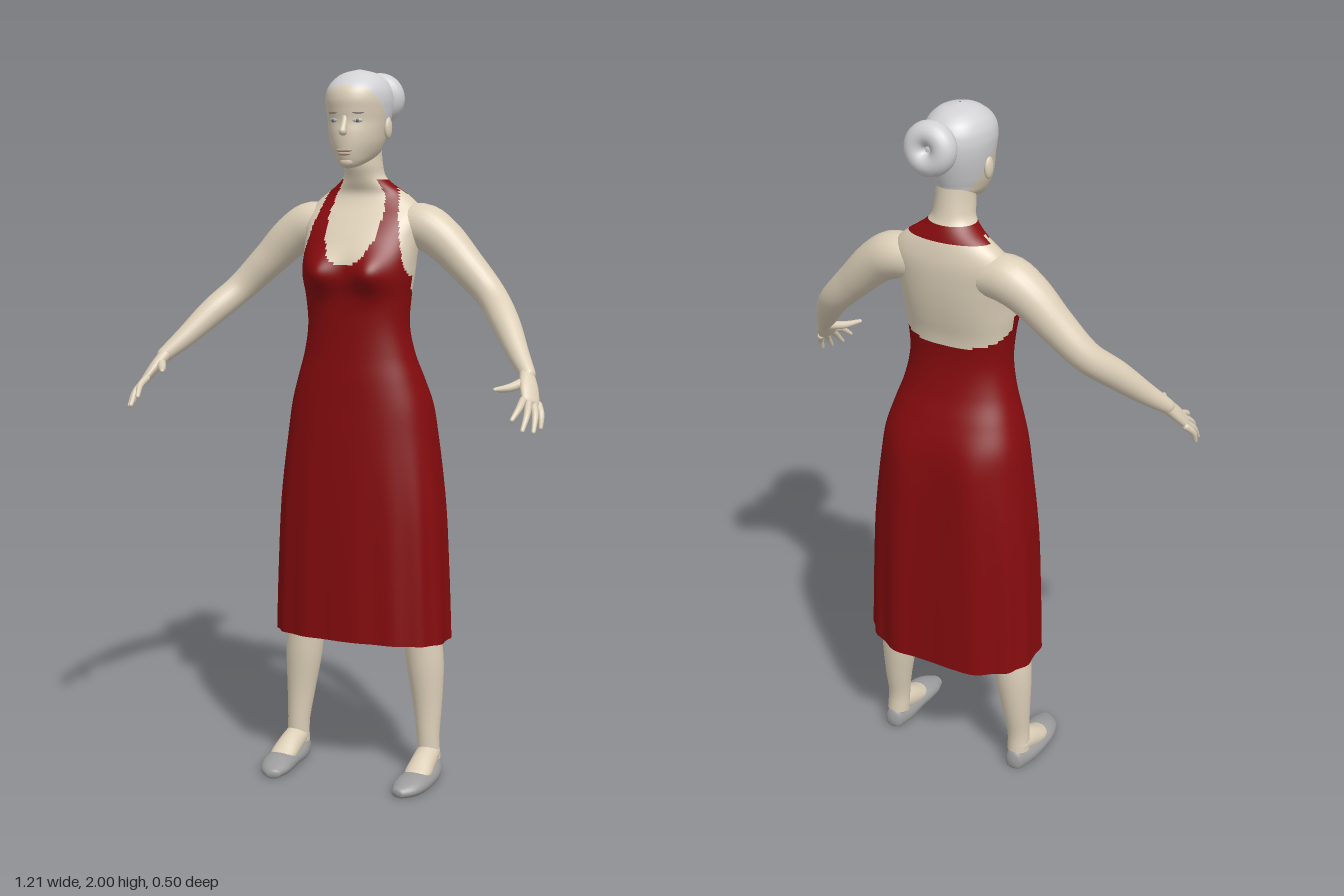
import * as THREE from 'three';

const mat = (name, color, side = THREE.FrontSide) => {
  const m = new THREE.MeshStandardMaterial({ color, side });
  m.name = name;
  return m;
};

// Smooth sampler over rows of [key, ...values]
function sampler(rows) {
  const it = new THREE.CubicInterpolant(rows.map(r => r[0]), rows.flatMap(r => r.slice(1)), rows[0].length - 1);
  return t => Array.from(it.evaluate(t));
}

// Piecewise linear lookup in [key, value] pairs
function lookup(table, k) {
  if (k <= table[0][0]) return table[0][1];
  for (let i = 1; i < table.length; i++) {
    const [a, va] = table[i - 1], [b, vb] = table[i];
    if (k <= b) return va + (vb - va) * (k - a) / (b - a);
  }
  return table[table.length - 1][1];
}

// Closed tube of rings; point(angle, ring) returns a Vector3
function ringGrid(point, around, rings) {
  const pos = [], idx = [];
  for (let j = 0; j < rings; j++)
    for (let i = 0; i < around; i++) pos.push(...point(i / around * Math.PI * 2, j).toArray());
  for (let j = 0; j < rings - 1; j++)
    for (let i = 0; i < around; i++) {
      const n = (i + 1) % around, a = j * around + i, b = j * around + n;
      idx.push(a, b, b + around, a, b + around, a + around);
    }
  const g = new THREE.BufferGeometry();
  g.setAttribute('position', new THREE.Float32BufferAttribute(pos, 3));
  g.setIndex(idx);
  g.computeVertexNormals();
  return g;
}

// Split a grid into two geometries by a rule on each quad's centre
function splitGrid(g, rule) {
  const p = g.attributes.position, idx = g.index.array, sets = [[], []];
  for (let q = 0; q < idx.length; q += 6) {
    const c = new THREE.Vector3();
    for (const k of [0, 1, 2, 5]) c.add(new THREE.Vector3().fromBufferAttribute(p, idx[q + k]));
    sets[rule(c.multiplyScalar(0.25)) ? 0 : 1].push(...idx.slice(q, q + 6));
  }
  return sets.map(s => g.clone().setIndex(s));
}

const spow = (v, e) => Math.sign(v) * Math.abs(v) ** e;
const bump = (d, w) => Math.exp(-((d / w) ** 2));

// Horizontal sections: y, half width, front z, back z, squareness
const BODY = sampler([
  [0.40, 0.255, 0.06, -0.238, 2.6], [0.6, 0.248, 0.06, -0.235, 2.6], [0.8, 0.238, 0.058, -0.23, 2.6],
  [1.0, 0.215, 0.053, -0.222, 2.5], [1.08, 0.202, 0.05, -0.212, 2.5], [1.15, 0.182, 0.048, -0.19, 2.4],
  [1.22, 0.16, 0.045, -0.165, 2.3], [1.3, 0.146, 0.045, -0.15, 2.3], [1.38, 0.15, 0.05, -0.152, 2.4],
  [1.44, 0.158, 0.062, -0.165, 2.4], [1.48, 0.16, 0.055, -0.173, 2.4], [1.54, 0.165, 0.022, -0.181, 2.3],
  [1.6, 0.17, -0.02, -0.183, 2.2], [1.635, 0.15, -0.045, -0.178, 2.1], [1.665, 0.115, -0.056, -0.17, 2],
  [1.69, 0.078, -0.047, -0.16, 2], [1.71, 0.06, -0.04, -0.15, 2], [1.74, 0.054, -0.03, -0.143, 2],
  [1.82, 0.05, -0.03, -0.134, 2]]);
const HEAD = sampler([
  [1.733, 0.004, 0.028, 0.02], [1.738, 0.02, 0.037, -0.01], [1.75, 0.038, 0.045, -0.06],
  [1.77, 0.055, 0.052, -0.122], [1.80, 0.069, 0.056, -0.138], [1.83, 0.077, 0.056, -0.15],
  [1.86, 0.083, 0.052, -0.16], [1.89, 0.088, 0.055, -0.167], [1.92, 0.09, 0.057, -0.168],
  [1.95, 0.084, 0.047, -0.16], [1.975, 0.066, 0.02, -0.14], [1.992, 0.038, -0.015, -0.105],
  [2.0, 0.003, -0.055, -0.062]]);

function bodyPoint(a, y) {
  const [w, zf, zb, p] = BODY(y), c = Math.cos(a);
  const x = w * spow(Math.sin(a), 2 / p);
  let z = (zf + zb) / 2 + (zf - zb) / 2 * spow(c, 2 / p);
  if (c > 0) z += 0.03 * bump(Math.abs(x) - 0.08, 0.045) * bump(y - 1.45, 0.05);
  const hang = THREE.MathUtils.smoothstep(1.12 - y, 0, 0.7);
  if (c < 0) z -= 0.012 * bump(Math.abs(x) - 0.11, 0.06) * bump(Math.max(0, y - 1), 0.1);
  const fold = 1 + 0.014 * hang * Math.sin(14 * a + 1);
  return new THREE.Vector3(x * fold, y + 0.01 * c * hang, -0.09 + (z + 0.09) * fold);
}

function headPoint(a, y) {
  const [w, zf, zb] = HEAD(y);
  return new THREE.Vector3(w * Math.sin(a), y, (zf + zb) / 2 + (zf - zb) / 2 * Math.cos(a));
}
const faceZ = (x, y) => headPoint(Math.asin(x / HEAD(y)[0]), y).z;

// Halter cut: U neckline, bare back, straps meeting behind the neck
const OUTER = [[1.43, 0.16], [1.5, 0.145], [1.6, 0.122], [1.66, 0.108], [1.7, 0.085]];
const INNER = [[1.468, 0], [1.48, 0.035], [1.5, 0.055], [1.55, 0.078], [1.62, 0.08], [1.66, 0.072], [1.7, 0.05]];
function isDress({ x, y, z }) {
  const [, zf, zb] = BODY(y), ax = Math.abs(x);
  if (y < 1.36 + Math.min(z + 0.155, 0.155) * 0.45) return true;
  if (y > 1.7) return false;
  if (z > (zf + zb) / 2) return ax < lookup(OUTER, y) && (y < 1.468 || ax > lookup(INNER, y));
  return y > 1.664;
}

// Hairline, running from forehead past the ears to the nape
const HAIRLINE = [[1.76, -0.14], [1.8, -0.1], [1.84, -0.062], [1.88, -0.035], [1.92, 0.0], [1.95, 0.033], [1.965, 0.1]];
const isHair = ({ y, z }) => z < lookup(HAIRLINE, y);

// Rounded limb through [x, y, z, radiusA, radiusB]; s mirrors it
function limb(points, s = 1, { side = [0, 0, 1], around = 20, rings = 28, dome = 1 } = {}) {
  let d = 0;
  const rows = points.map((p, i) => {
    if (i) d += Math.hypot(...[0, 1, 2].map(k => p[k] - points[i - 1][k]));
    return [d, p[0] * s, p[1], p[2], p[3], p[4] ?? p[3]];
  });
  const at = sampler(rows), ref = new THREE.Vector3(side[0] * s, side[1], side[2]);
  const cap = 4, list = [];
  for (let j = -cap; j < rings + cap; j++) {
    const t = THREE.MathUtils.clamp(j / (rings - 1), 0, 1) * d;
    const over = j < 0 ? j / cap : j >= rings ? (j - rings + 1) / cap : 0;
    const v = at(t), e = d * 0.01;
    const T = new THREE.Vector3(...at(Math.min(d, t + e))).sub(new THREE.Vector3(...at(Math.max(0, t - e)))).normalize();
    const F = ref.clone().cross(T).normalize(), S = T.clone().cross(F);
    const shrink = Math.max(0.01, Math.cos(over * Math.PI / 2));
    const C = new THREE.Vector3(v[0], v[1], v[2])
      .addScaledVector(T, Math.sin(over * Math.PI / 2) * Math.min(v[3], v[4]) * dome);
    list.push({ C, S, F, a: v[3] * shrink, b: v[4] * shrink });
  }
  return ringGrid((ang, j) => {
    const r = list[j];
    return r.C.clone().addScaledVector(r.S, r.a * Math.sin(ang)).addScaledVector(r.F, r.b * Math.cos(ang));
  }, around, list.length);
}

export function createModel() {
  const model = new THREE.Group();
  model.name = 'woman in halter dress';
  const skin = mat('skin', 0xdccfb8), red = mat('dress red', 0x850b0e, THREE.DoubleSide);
  const hair = mat('silver hair', 0xd2d2d4), shoe = mat('shoe grey', 0x9b9b9c);
  const eye = mat('eye grey', 0xb4bac0), dark = mat('brow grey', 0x77706a), lip = mat('lip', 0xb9a593);
  const add = (name, geo, m, parent = model) => {
    const mesh = new THREE.Mesh(geo, m);
    mesh.name = name;
    parent.add(mesh);
    return mesh;
  };
  const ball = (name, m, p, r) => {
    const b = add(name, new THREE.SphereGeometry(1, 20, 14), m);
    b.position.set(...p);
    b.scale.set(...r);
    return b;
  };

  // Dress and torso share one surface, divided along the neckline
  const body = ringGrid((a, j) => bodyPoint(a, 0.4 + 1.42 * j / 180), 150, 181);
  const [dressGeo, torsoGeo] = splitGrid(body, isDress);
  add('halter dress', dressGeo, red);
  add('torso and neck', torsoGeo, skin);

  // Head and swept-back hair
  const head = ringGrid((a, j) => headPoint(a, 1.8665 - 0.1335 * Math.cos(Math.PI * j / 70)), 80, 71);
  const [hairGeo, faceGeo] = splitGrid(head, isHair);
  add('hair', hairGeo, hair);
  add('face', faceGeo, skin);
  const bun = add('hair bun', new THREE.TorusGeometry(0.038, 0.033, 18, 36), hair);
  bun.position.set(0, 1.925, -0.21);
  bun.scale.z = 1.1;
  bun.rotation.x = 0.1;
  ball('bun core', hair, [0, 1.925, -0.195], [0.03, 0.03, 0.03]);

  // Face details
  add('nose', limb([[0, 1.872, 0.046, 0.008], [0, 1.848, 0.056, 0.009], [0, 1.832, 0.062, 0.013, 0.011]], 1, { rings: 10 }), skin);
  ball('upper lip', lip, [0, 1.782, faceZ(0, 1.782)], [0.024, 0.005, 0.006]);
  ball('lower lip', lip, [0, 1.773, faceZ(0, 1.773)], [0.019, 0.005, 0.007]);
  ball('chin', skin, [0, 1.752, 0.036], [0.02, 0.015, 0.012]);

  for (const s of [1, -1]) {
    const n = s > 0 ? 'left' : 'right';
    const z = faceZ(0.035, 1.862);
    ball(n + ' eye', eye, [s * 0.035, 1.862, z], [0.014, 0.006, 0.004]).rotation.y = s * 0.4;
    ball(n + ' iris', dark, [s * 0.035, 1.862, z + 0.002], [0.005, 0.005, 0.004]);
    ball(n + ' brow', dark, [s * 0.037, 1.882, faceZ(0.037, 1.882)], [0.017, 0.002, 0.003]).rotation.y = s * 0.4;
    ball(n + ' ear', skin, [s * 0.083, 1.842, -0.06], [0.01, 0.03, 0.018]);

    // Arm, palm and fingers
    add(n + ' arm', limb([[0.1, 1.575, -0.112, 0.056], [0.17, 1.573, -0.111, 0.064], [0.22, 1.545, -0.108, 0.06],
      [0.3, 1.47, -0.1, 0.05], [0.38, 1.39, -0.08, 0.042], [0.44, 1.325, -0.02, 0.039],
      [0.5, 1.25, 0.05, 0.029], [0.54, 1.205, 0.095, 0.021]], s, { rings: 44, around: 24 }), skin);
    const side = [0.55, -0.3, -0.78];
    add(n + ' palm', limb([[0.535, 1.21, 0.09, 0.02, 0.018], [0.553, 1.175, 0.125, 0.029, 0.016],
      [0.568, 1.142, 0.155, 0.029, 0.012]], s, { side, rings: 12 }), skin);
    const fingers = [
      ['index finger', [0.553, 1.148, 0.176], [0.545, 1.105, 0.242]],
      ['middle finger', [0.564, 1.142, 0.164], [0.571, 1.078, 0.235]],
      ['ring finger', [0.574, 1.136, 0.15], [0.592, 1.072, 0.207]],
      ['little finger', [0.583, 1.132, 0.136], [0.6, 1.078, 0.17]]];
    for (const [name, k, t] of fingers) {
      const mid = k.map((v, i) => (v + t[i]) / 2 + [0.005, 0.004, 0.003][i]);
      add(n + ' ' + name, limb([[...k, 0.01], [...mid, 0.009], [...t, 0.006]], s, { side, around: 10, rings: 8 }), skin);
    }
    add(n + ' thumb', limb([[0.54, 1.188, 0.115, 0.014], [0.512, 1.176, 0.16, 0.011], [0.487, 1.175, 0.205, 0.006]],
      s, { side: [0, 1, 0], around: 10, rings: 10 }), skin);

    // Leg, foot and flat shoe
    add(n + ' leg', limb([[0.12, 0.95, -0.09, 0.08], [0.165, 0.6, -0.09, 0.064], [0.182, 0.42, -0.091, 0.054],
      [0.19, 0.33, -0.093, 0.054], [0.2, 0.2, -0.09, 0.041], [0.205, 0.1, -0.082, 0.032],
      [0.207, 0.05, -0.085, 0.034]], s, { dome: 0.3 }), skin);
    add(n + ' foot', limb([[0.207, 0.07, -0.085, 0.033, 0.03], [0.209, 0.05, -0.03, 0.036, 0.035],
      [0.21, 0.034, 0.02, 0.038, 0.026], [0.208, 0.028, 0.05, 0.03, 0.018]], s, { side: [1, 0, 0], rings: 14 }), skin);
    const shoeGeo = limb([[0.207, 0.022, -0.113, 0.028, 0.038], [0.209, 0.02, -0.07, 0.041, 0.036],
      [0.212, 0.018, 0, 0.046, 0.03], [0.208, 0.018, 0.06, 0.047, 0.03],
      [0.2, 0.015, 0.1, 0.039, 0.022], [0.192, 0.012, 0.125, 0.022, 0.015]], s, { side: [1, 0, 0], around: 28, dome: 0.5 });
    const p = shoeGeo.attributes.position;
    for (let i = 0; i < p.count; i++) p.setY(i, Math.max(0, p.getY(i)));
    shoeGeo.computeVertexNormals();
    add(n + ' shoe', shoeGeo, shoe);
  }
  return model;
}
